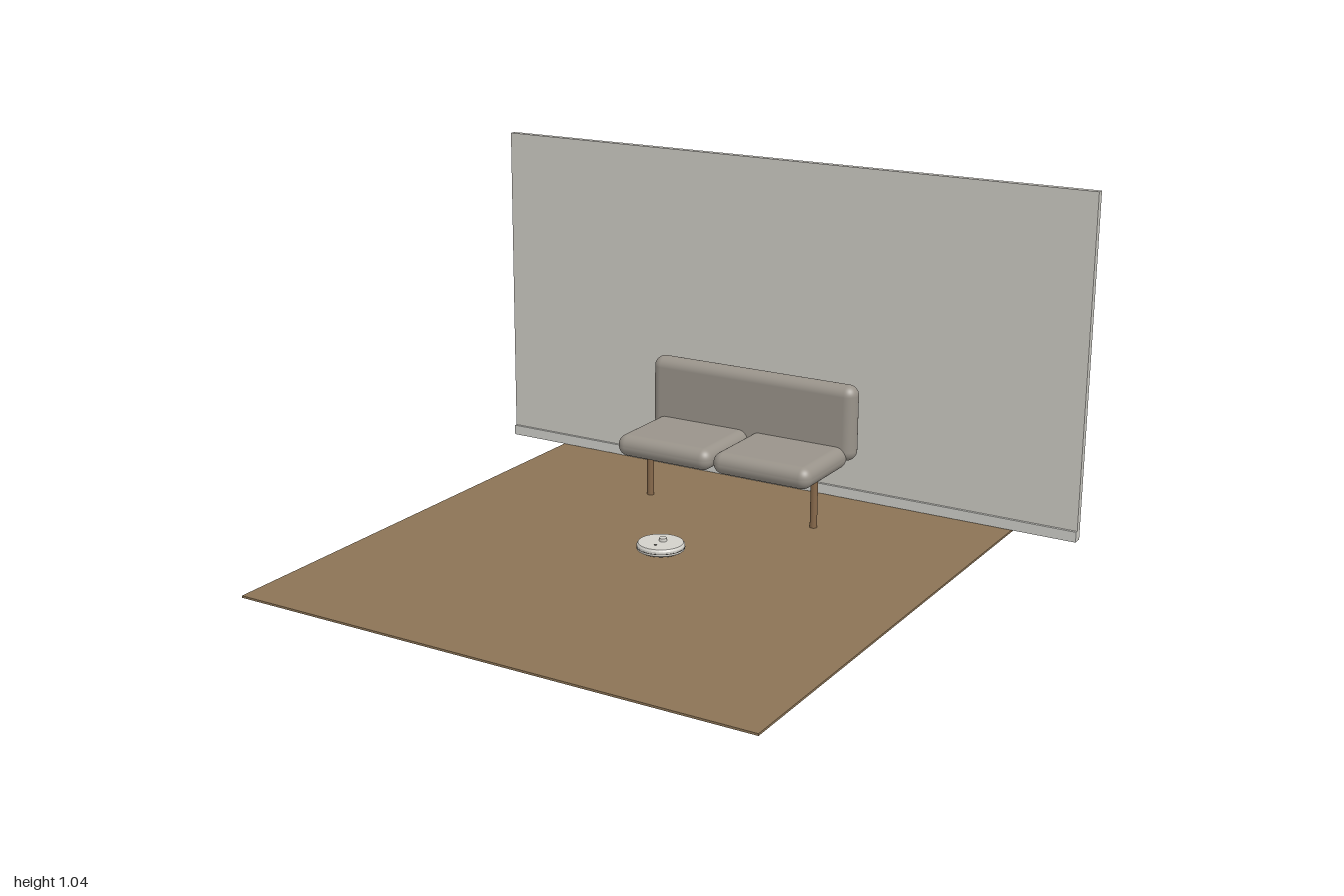
import * as THREE from 'three';
import { RoundedBoxGeometry } from 'three/addons/geometries/RoundedBoxGeometry.js';

const material = (name, color) => {
  const m = new THREE.MeshStandardMaterial({ color });
  m.name = name;
  return m;
};

export function createModel() {
  const mats = {
    wood: material('floor brown', 0x8b7355),
    wall: material('wall grey', 0xcbc9c2),
    trim: material('trim grey', 0xcdcdc8),
    fabric: material('sofa fabric', 0x99938a),
    leg: material('leg brown', 0x86684a),
    shell: material('robot white', 0xd2d0ca),
    dark: material('robot dark grey', 0x55534f),
  };
  const room = new THREE.Group();
  room.name = 'livingRoom';

  const add = (parent, name, geometry, mat, x, y, z) => {
    const mesh = new THREE.Mesh(geometry, mat);
    mesh.name = name;
    mesh.position.set(x, y, z);
    parent.add(mesh);
    return mesh;
  };
  const group = (name) => {
    const g = new THREE.Group();
    g.name = name;
    room.add(g);
    return g;
  };

  // Floor slab, back wall and skirting board
  add(room, 'floor', new THREE.BoxGeometry(1.6, 0.006, 1.6), mats.wood, 0, 0.003, 0.003);
  add(room, 'wall', new THREE.BoxGeometry(2, 1.037, 0.022), mats.wall, 0, 0.5265, -0.792);
  add(room, 'baseboard', new THREE.BoxGeometry(2, 0.032, 0.009), mats.trim, 0, 0.024, -0.7765);

  // Two-seat sofa
  const sofa = group('sofa');
  add(sofa, 'backrest', new RoundedBoxGeometry(0.7, 0.236, 0.066, 6, 0.032), mats.fabric, 0, 0.3, -0.637);
  for (const side of [-1, 1]) {
    const name = side > 0 ? 'left' : 'right';
    add(sofa, name + 'SeatCushion', new RoundedBoxGeometry(0.326, 0.068, 0.28, 6, 0.032),
      mats.fabric, side * 0.167, 0.195, -0.497);
    add(sofa, name + 'Leg', new THREE.CylinderGeometry(0.011, 0.011, 0.16, 20),
      mats.leg, side * 0.285, 0.086, -0.493);
  }

  // Robot vacuum: chamfered round shell, sensor turret, button and wheels
  const robot = group('robotVacuum');
  robot.position.set(0, 0, -0.083);
  const profile = [[0, 0.012], [0.064, 0.012], [0.07, 0.016], [0.07, 0.029], [0.066, 0.035], [0, 0.035]]
    .map(([r, y]) => new THREE.Vector2(r, y));
  const shell = new THREE.LatheGeometry(profile, 40).toNonIndexed();
  shell.computeVertexNormals();
  add(robot, 'shell', shell, mats.shell, 0, 0, 0);
  add(robot, 'bumperGroove', new THREE.CylinderGeometry(0.0708, 0.0708, 0.002, 40), mats.dark, 0, 0.022, 0);
  add(robot, 'sensorTurret', new THREE.CylinderGeometry(0.011, 0.012, 0.009, 24), mats.shell, 0, 0.0395, -0.012);
  add(robot, 'button', new THREE.CylinderGeometry(0.004, 0.004, 0.002, 16), mats.dark, 0, 0.0355, 0.03);
  for (const side of [-1, 1]) {
    const wheel = add(robot, side > 0 ? 'leftWheel' : 'rightWheel',
      new THREE.CylinderGeometry(0.009, 0.009, 0.01, 16), mats.dark, side * 0.045, 0.015, 0);
    wheel.rotation.z = Math.PI / 2;
  }
  return room;
}
